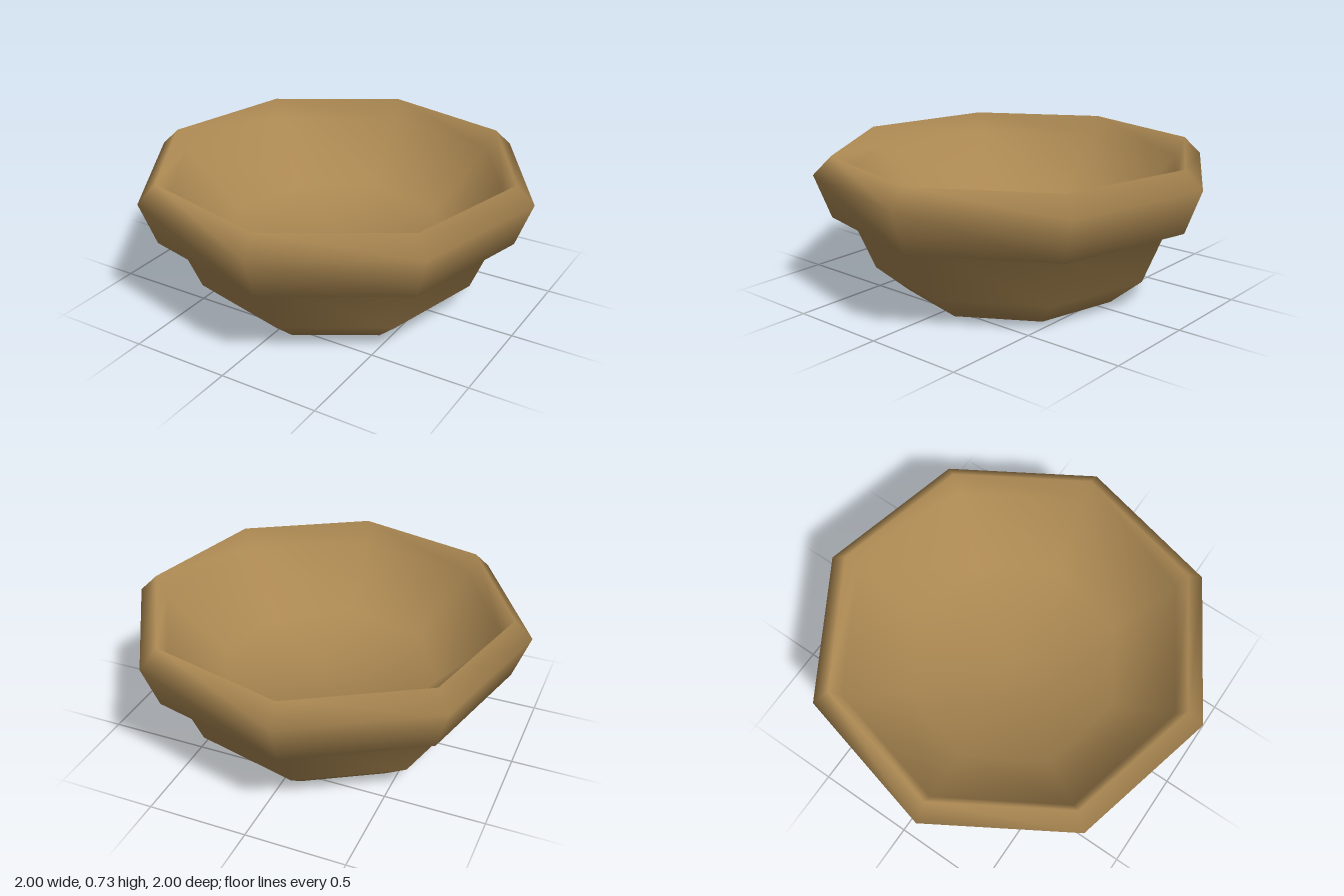
import * as THREE from 'three';
import { mergeVertices } from 'three/addons/utils/BufferGeometryUtils.js';

const clay = new THREE.MeshStandardMaterial({ color: 0xab8852 });
clay.name = 'tan clay';

// Eight-sided turned shape whose normals flow softly over all its edges
function softLathe(profile, sides, turn) {
  const points = profile.map(([r, y]) => new THREE.Vector2(r, y));
  const lathe = new THREE.LatheGeometry(points, sides, turn);
  lathe.deleteAttribute('uv');
  lathe.deleteAttribute('normal');
  const geometry = mergeVertices(lathe, 1e-4);
  geometry.computeVertexNormals();
  return geometry;
}

export function createModel() {
  const group = new THREE.Group();
  group.name = 'octagonalBowl';

  const profile = [
    [0, 0], [0.558, 0],          // base
    [0.725, 0.14], [0.84, 0.42], // body
    [0.93, 0.42], [1.011, 0.64], // overhanging rim
    [0.92, 0.73], [0.87, 0.63],  // lip
    [0.57, 0.33], [0, 0.33],     // inner wall and floor
  ];
  const bowl = new THREE.Mesh(softLathe(profile, 8, 0.149), clay);
  bowl.name = 'bowl';
  group.add(bowl);
  return group;
}
